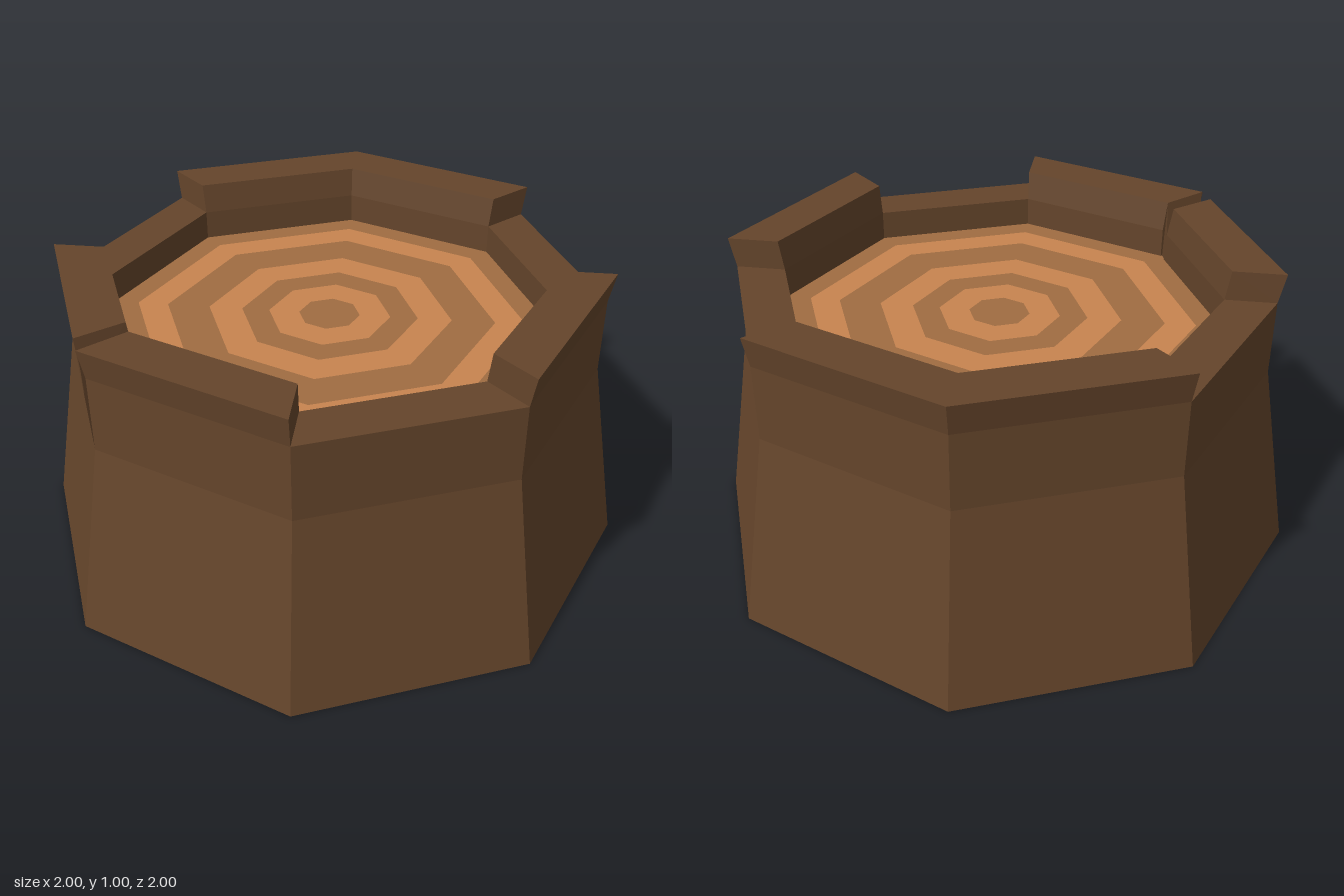
import * as THREE from 'three';
import { ConvexGeometry } from 'three/addons/geometries/ConvexGeometry.js';

const SIDES = 8;
const mat = (color) => new THREE.MeshStandardMaterial({ color, flatShading: true });

export function createModel() {
  const group = new THREE.Group();
  const bark = mat(0x65452b), lightWood = mat(0xc8844f), darkWood = mat(0xa06d42);
  const add = (name, geometry, material) => {
    const mesh = new THREE.Mesh(geometry, material);
    mesh.name = name;
    group.add(mesh);
    return mesh;
  };

  // Flared lower trunk, closed underneath
  add('trunkBase', new THREE.CylinderGeometry(0.885, 1, 0.65, SIDES), bark).position.y = 0.325;

  // Bark panels: a radial section swept along one side of the octagon
  const lowSection = [[0.72, 0.65], [0.885, 0.65], [0.885, 0.83], [0.885, 0.9], [0.72, 0.9], [0.72, 0.83]];
  const raisedSection = [...lowSection.slice(0, 4), [0.905, 1], [0.735, 1], ...lowSection.slice(4)];

  // How far the cracked panel's edge pulls back at each height
  const crackInset = (y) => 0.055 + 0.045 * Math.max(0, (y - 0.83) / 0.17);

  function panelGeometry(index, raised, cracked) {
    const section = raised ? raisedSection : lowSection;
    const shape = new THREE.Shape(section.map(([r, y]) => new THREE.Vector2(r, y)));
    const geometry = new THREE.ExtrudeGeometry(shape, { depth: 1, steps: 1, bevelEnabled: false });
    const pos = geometry.attributes.position;
    const a = index * Math.PI * 2 / SIDES, b = a + Math.PI * 2 / SIDES;
    for (let i = 0; i < pos.count; i++) {
      let r = pos.getX(i), t = pos.getZ(i);
      const y = pos.getY(i);
      if (cracked && t < 0.5) {
        t = crackInset(y);
        if (r > 0.8 && y > 0.8 && y < 0.95) r += 0.01;
      }
      pos.setXYZ(i,
        -r * THREE.MathUtils.lerp(Math.sin(a), Math.sin(b), t), y,
        r * THREE.MathUtils.lerp(Math.cos(a), Math.cos(b), t));
    }
    geometry.computeVertexNormals();
    return geometry;
  }

  // Panels run from the front round the -x side
  [1, 0, 1, 1, 0, 1, 0, 1].forEach((raised, i) => {
    add(raised ? 'raisedBarkPanel' : 'lowBarkPanel', panelGeometry(i, raised, i === 0), bark);
  });

  // Recessed wedge that closes the bottom of the front crack
  const wedge = [
    [0, 1, 0.9], [0, 0.65, 0.885], [-0.035, 0.83, 0.86], [-0.04, 0.65, 0.86],
    [0, 1, 0.735], [0, 0.65, 0.72], [-0.035, 0.83, 0.71], [-0.04, 0.65, 0.71],
  ].map((p) => new THREE.Vector3(...p));
  add('crackWedge', new ConvexGeometry(wedge), bark);

  // Growth rings on the cut face
  const radii = [0, 0.1, 0.2, 0.29, 0.4, 0.54, 0.64, 0.725];
  for (let i = 0; i < radii.length - 1; i++) {
    const geometry = i === 0
      ? new THREE.CircleGeometry(radii[1], SIDES)
      : new THREE.RingGeometry(radii[i], radii[i + 1], SIDES);
    const ring = add('growthRing', geometry, i % 2 ? lightWood : darkWood);
    ring.rotation.x = -Math.PI / 2;
    ring.position.y = 0.8;
  }
  return group;
}
